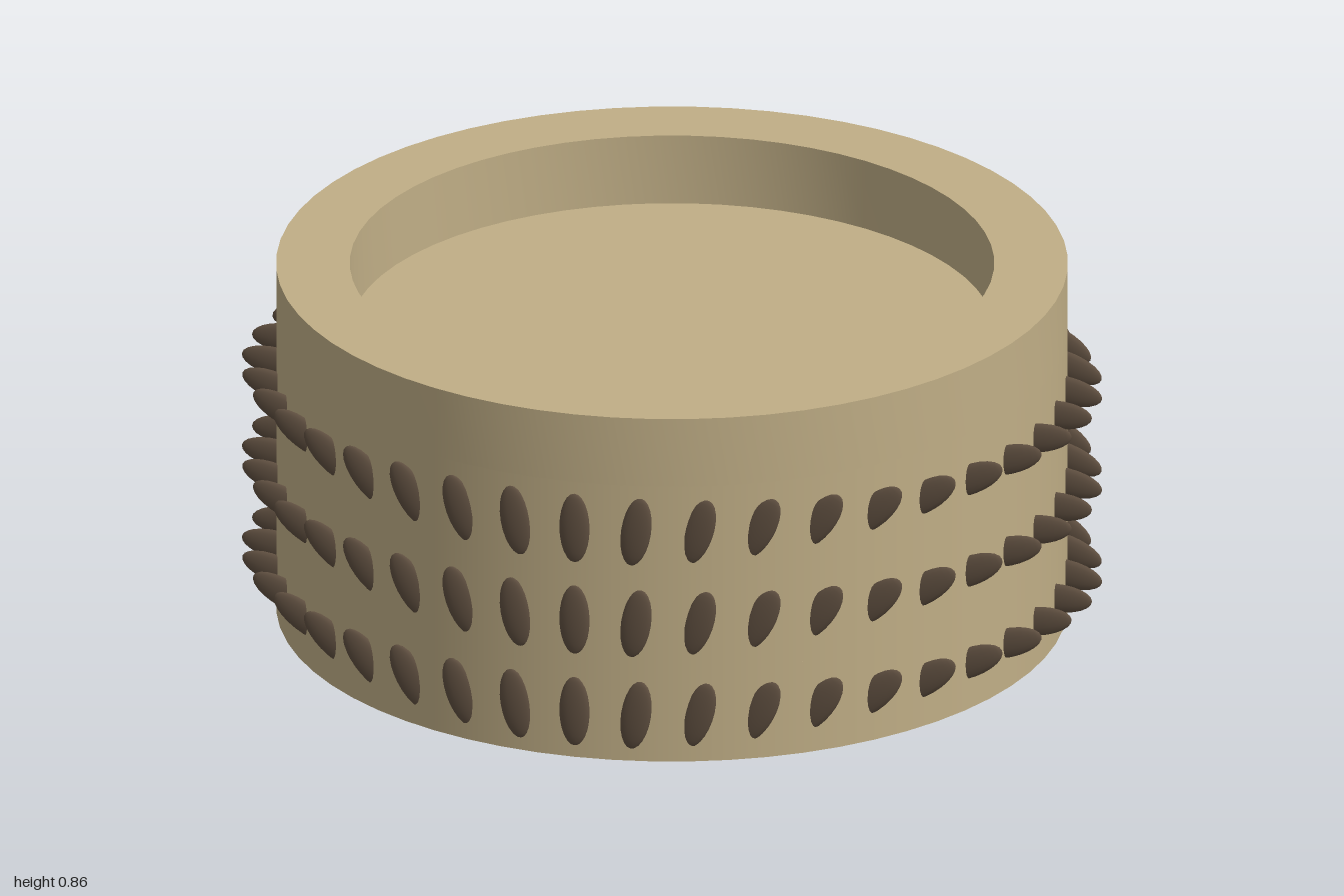
import * as THREE from 'three';
import { toCreasedNormals } from 'three/addons/utils/BufferGeometryUtils.js';

const RADIUS = 0.914, INNER = 0.744, TIER = 0.23, HEIGHT = 0.86;
const TIERS = 3, STUDS = 40, SIDES = 64;

export function createModel() {
  const model = new THREE.Group();
  model.name = 'studdedDrum';

  const sand = new THREE.MeshStandardMaterial({ color: 0xc0ae86 });
  sand.name = 'sand';
  const brown = new THREE.MeshStandardMaterial({ color: 0x5f4f40 });
  brown.name = 'darkBrown';

  const add = (parent, geometry, material, name) => {
    const mesh = new THREE.Mesh(geometry, material);
    mesh.name = name;
    parent.add(mesh);
    return mesh;
  };

  // Stacked solid discs, each with a ring of flat oval studs
  const discGeometry = new THREE.CylinderGeometry(RADIUS, RADIUS, TIER, SIDES);
  const studGeometry = new THREE.SphereGeometry(1, 16, 12).scale(0.036, 0.086, 0.0125);
  for (let i = 0; i < TIERS; i++) {
    const tier = new THREE.Group();
    tier.name = `tier${i + 1}`;
    tier.position.y = TIER * (i + 0.5);
    model.add(tier);
    add(tier, discGeometry, sand, 'disc');

    // Studs stay parallel to the front plane and roll once around the ring
    for (let k = 0; k < STUDS; k++) {
      const angle = (k / STUDS) * Math.PI * 2;
      const stud = add(tier, studGeometry, brown, 'stud');
      stud.position.set(RADIUS * Math.sin(angle), 0, RADIUS * Math.cos(angle));
      stud.rotation.z = -angle;
    }
  }

  // Raised rim around the recessed top
  const base = TIER * TIERS;
  const profile = [
    [INNER, base], [RADIUS, base], [RADIUS, HEIGHT], [INNER, HEIGHT], [INNER, base],
  ].map(([r, y]) => new THREE.Vector2(r, y));
  add(model, toCreasedNormals(new THREE.LatheGeometry(profile, SIDES), 0.6), sand, 'rim');

  return model;
}
